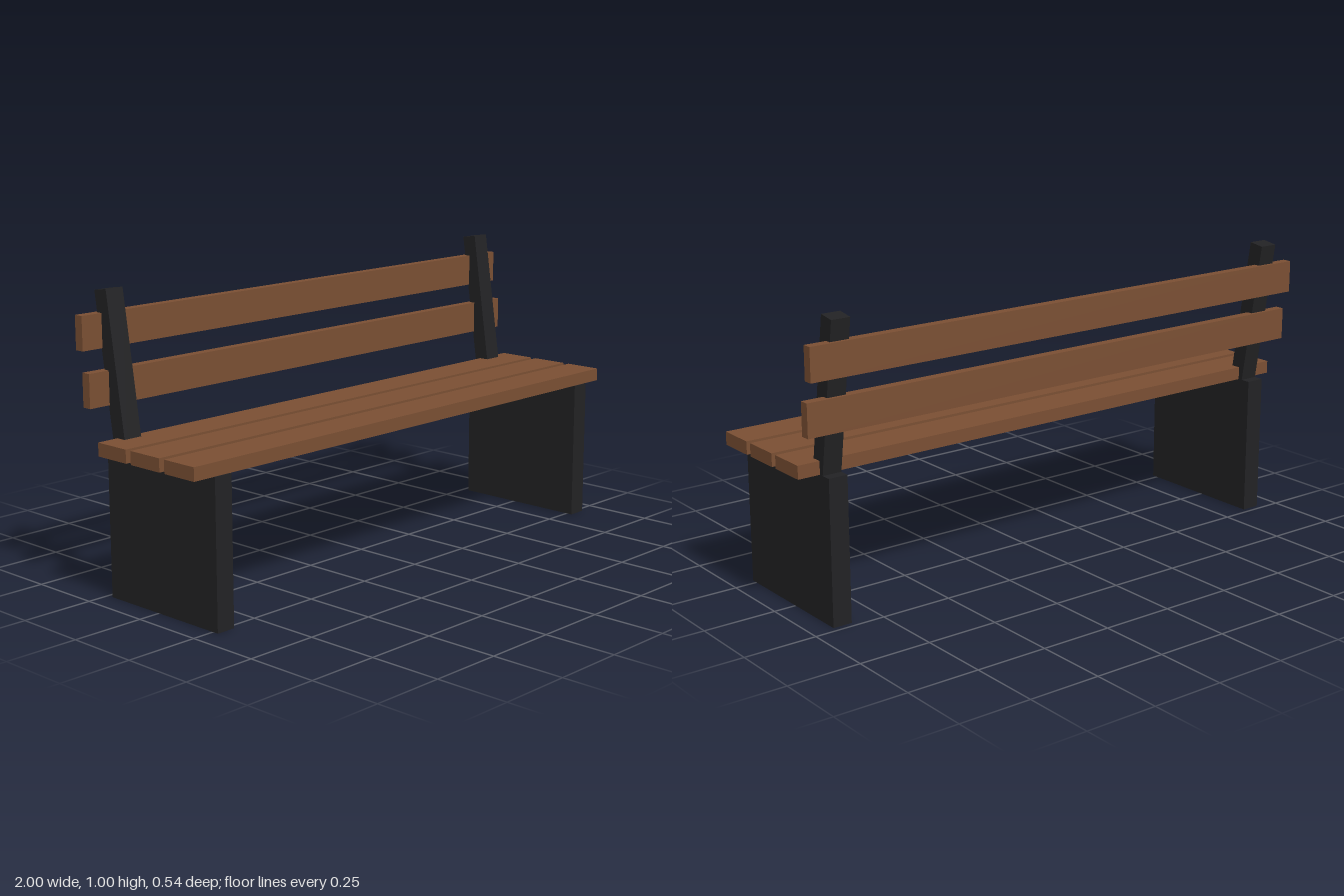
import * as THREE from 'three';

export function createModel() {
  const bench = new THREE.Group();
  bench.name = 'bench';

  const wood = new THREE.MeshStandardMaterial({ color: 0x7a4f33 });
  const iron = new THREE.MeshStandardMaterial({ color: 0x222224 });

  const addBox = (name, material, [w, h, d], [x, y, z], tilt = 0) => {
    const mesh = new THREE.Mesh(new THREE.BoxGeometry(w, h, d), material);
    mesh.name = name;
    mesh.position.set(x, y, z);
    mesh.rotation.x = tilt;
    bench.add(mesh);
  };

  // Solid end panels and the leaning posts that rise from them
  for (const [side, s] of [['left', 1], ['right', -1]]) {
    addBox(`${side}Leg`, iron, [0.067, 0.489, 0.5], [s * 0.889, 0.2445, 0.022]);
    addBox(`${side}BackPost`, iron, [0.067, 0.556, 0.056], [s * 0.889, 0.721, -0.2], -0.15);
  }

  // Three seat planks, front to back
  [0.2, 0.0445, -0.111].forEach((z, i) =>
    addBox(`seatSlat${i + 1}`, wood, [2, 0.0445, 0.133], [0, 0.511, z]));

  // Two upright backrest planks, stepped back with the lean of the posts
  [[0.689, -0.2275], [0.867, -0.2545]].forEach(([y, z], i) =>
    addBox(`backSlat${i + 1}`, wood, [2, 0.111, 0.033], [0, y, z]));

  return bench;
}
